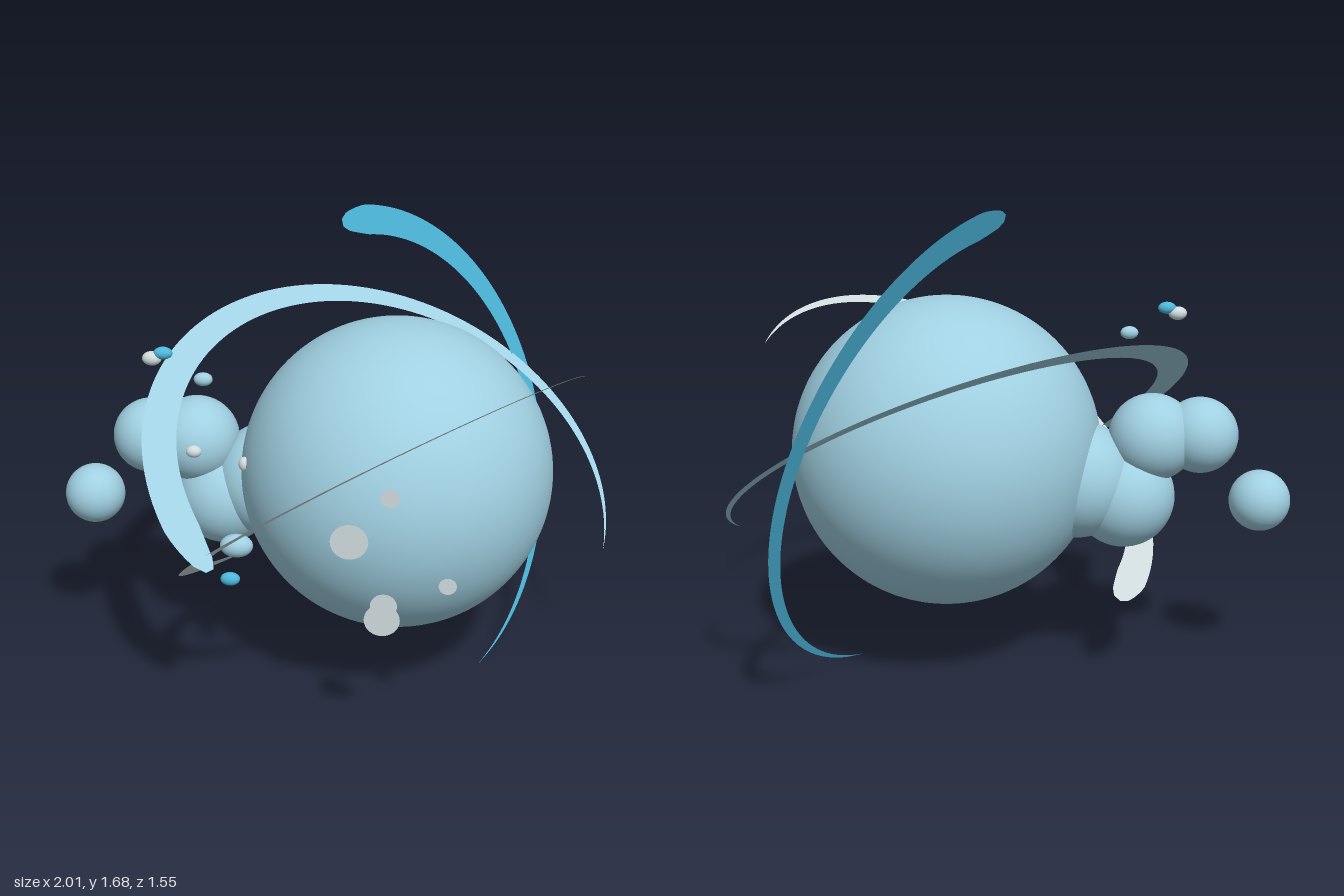
import * as THREE from 'three';

const CENTER = new THREE.Vector3(0.235, 0.797, 0.022);

const flat = (name, color, side = THREE.FrontSide) => {
  const m = new THREE.MeshStandardMaterial({ color, side });
  m.name = name;
  return m;
};

// Flat crescent around the globe: thin tip at `end`, widening as it sweeps past `via`.
function crescent(end, via, inner, width, degrees) {
  const u = new THREE.Vector3(...end).normalize();
  const v = new THREE.Vector3(...via);
  v.addScaledVector(u, -v.dot(u)).normalize();
  const n = 96, pos = [], index = [];
  const total = THREE.MathUtils.degToRad(degrees);
  for (let i = 0; i <= n; i++) {
    const t = i / n; // 0 at the broad end, 1 at the thin tip
    const a = total * (1 - t);
    const w = width * (1 - Math.pow(t, 1.5));
    const cap = 0.25 + 0.75 * Math.sqrt(Math.min(1, t / 0.05));
    const mid = inner + w / 2;
    for (const s of [-1, 1]) {
      const r = mid + s * w * cap / 2;
      const p = CENTER.clone()
        .addScaledVector(u, r * Math.cos(a))
        .addScaledVector(v, r * Math.sin(a));
      pos.push(p.x, p.y, p.z);
    }
    if (i < n) {
      const k = i * 2;
      index.push(k, k + 1, k + 2, k + 1, k + 3, k + 2);
    }
  }
  const g = new THREE.BufferGeometry();
  g.setAttribute('position', new THREE.Float32BufferAttribute(pos, 3));
  g.setIndex(index);
  g.computeVertexNormals();
  return g;
}

export function createModel() {
  const model = new THREE.Group();
  model.name = 'orbitingBubbles';

  const paleBlue = flat('paleBlue', 0xa0d0e2);
  const blue = flat('brightBlue', 0x4db8dc);
  const white = flat('greyWhite', 0xd0dbde);
  const paleBlueSheet = flat('paleBlueSheet', 0xa0d0e2, THREE.DoubleSide);
  const blueSheet = flat('brightBlueSheet', 0x4db8dc, THREE.DoubleSide);
  const whiteSheet = flat('greyWhiteSheet', 0xd0dbde, THREE.DoubleSide);

  const add = (name, geometry, material, x = 0, y = 0, z = 0) => {
    const mesh = new THREE.Mesh(geometry, material);
    mesh.name = name;
    mesh.position.set(x, y, z);
    model.add(mesh);
    return mesh;
  };

  // Large globe
  add('globe', new THREE.SphereGeometry(0.558, 96, 64), paleBlue, ...CENTER.toArray());

  // Chain of bubbles at the side: x, y, radius
  [
    [-0.235, 0.71, 0.21],
    [-0.4, 0.648, 0.184],
    [-0.5, 0.865, 0.157],
    [-0.67, 0.873, 0.136],
    [-0.89, 0.63, 0.11],
  ].forEach(([x, y, r], i) =>
    add(`bubble${i + 1}`, new THREE.SphereGeometry(r, 48, 32), paleBlue, x, y, -0.065));

  // Small flattened droplets: x, y, half width, half height, half depth, material
  [
    [-0.605, 1.267, 0.034, 0.025, 0.026, white],
    [-0.566, 1.287, 0.033, 0.022, 0.023, blue],
    [-0.43, 1.195, 0.033, 0.024, 0.024, paleBlue],
    [-0.472, 0.922, 0.028, 0.022, 0.022, white],
    [-0.295, 0.88, 0.02, 0.026, 0.022, white],
    [-0.33, 0.557, 0.06, 0.043, 0.042, paleBlue],
    [-0.356, 0.421, 0.036, 0.025, 0.024, blue],
  ].forEach(([x, y, rx, ry, rz, material], i) =>
    add(`droplet${i + 1}`, new THREE.SphereGeometry(1, 24, 16), material, x, y, 0.185)
      .scale.set(rx, ry, rz));

  // Flat round spots hovering before the globe: x, y, radius
  [
    [0.105, 0.822, 0.063],
    [0.238, 0.984, 0.032],
    [0.43, 0.672, 0.03],
    [0.215, 0.537, 0.06],
    [0.22, 0.59, 0.045],
  ].forEach(([x, y, r], i) =>
    add(`spot${i + 1}`, new THREE.CircleGeometry(r, 40), whiteSheet, x, y, 0.647 + i * 0.0005));

  // Three crescent rings
  add('frontRing', crescent([0.65, 0.385, 0], [-0.2, 0.265, 0.755], 0.755, 0.12, 199), whiteSheet);
  add('upperRing', crescent([0.755, -0.295, 0], [0.095, 0.36, -0.8], 0.81, 0.13, 234), paleBlueSheet);
  add('backRing', crescent([0.32, -0.79, 0], [0.445, 0.255, -0.79], 0.852, 0.108, 165), blueSheet);

  return model;
}
